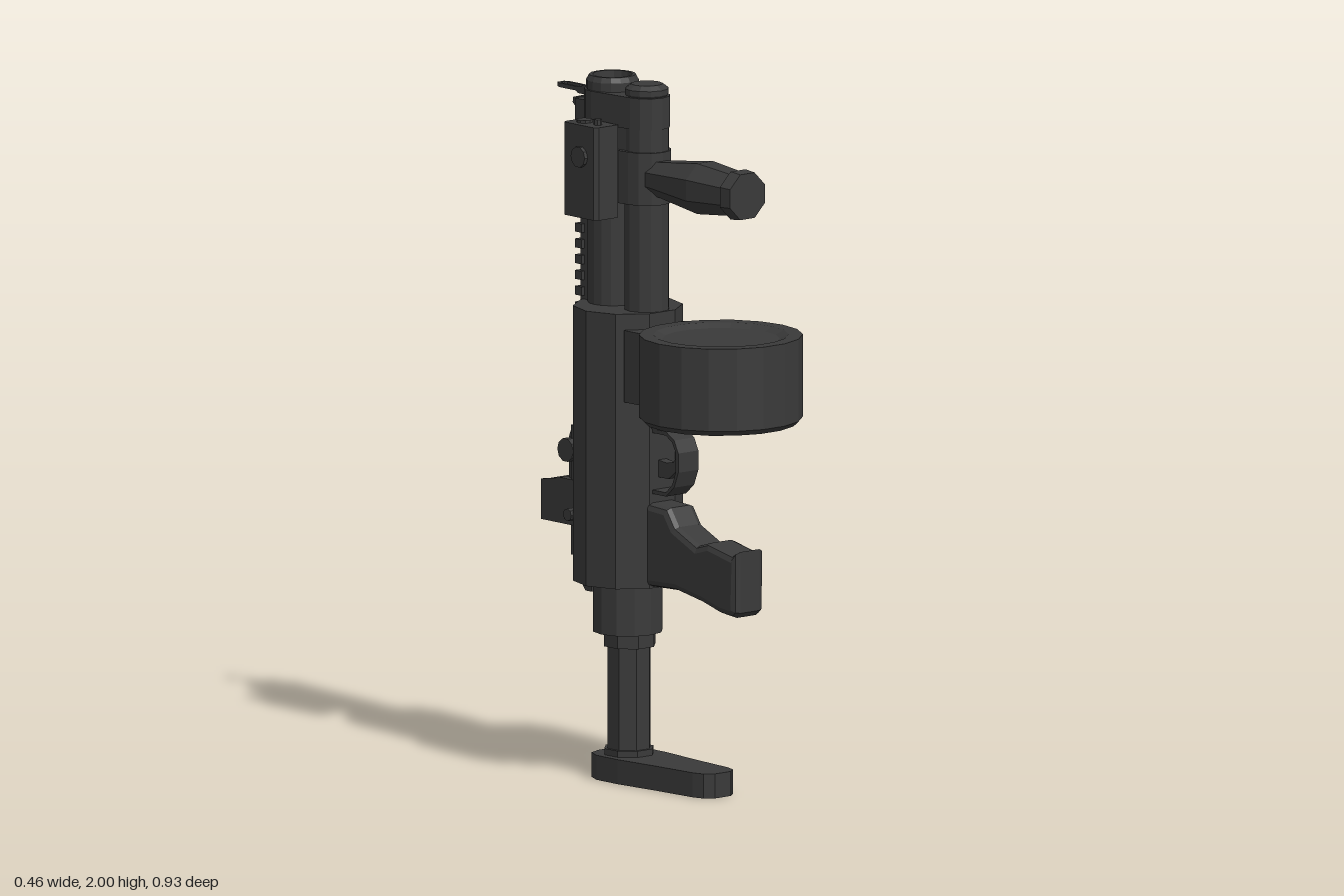
import * as THREE from 'three';

const metal = new THREE.MeshStandardMaterial({ color: 0x3a3a3a, flatShading: true });
metal.name = 'dark gunmetal';
const red = new THREE.MeshStandardMaterial({ color: 0x861f2e, flatShading: true, side: THREE.DoubleSide });
red.name = 'red lens';

export function createModel() {
  const model = new THREE.Group();

  const add = (name, geo, mat = metal) => {
    const m = new THREE.Mesh(geo, mat);
    m.name = name;
    model.add(m);
    return m;
  };
  // box from its limits
  const box = (name, x0, x1, y0, y1, z0, z1, mat) =>
    add(name, new THREE.BoxGeometry(x1 - x0, y1 - y0, z1 - z0)
      .translate((x0 + x1) / 2, (y0 + y1) / 2, (z0 + z1) / 2), mat);
  // upright lathe from [radius, y] pairs, bottom to top
  const turned = (name, pts, z, sides, turn = 0, x = 0) =>
    add(name, new THREE.LatheGeometry(pts.map(p => new THREE.Vector2(...p)), sides)
      .rotateY(turn).translate(x, 0, z));
  const rod = (name, r, y0, y1, z, sides, turn = 0, x = 0) =>
    turned(name, [[0, y0], [r, y0], [r, y1], [0, y1]], z, sides, turn, x);
  // knob lying along x
  const knob = (name, r, x0, x1, y, z, sides = 10) =>
    add(name, new THREE.CylinderGeometry(r, r, x1 - x0, sides)
      .rotateZ(Math.PI / 2).translate((x0 + x1) / 2, y, z));
  const shapeOf = pts => new THREE.Shape(pts.map(p => new THREE.Vector2(...p)));
  // plan outline [x, z] raised from y0 to y1
  const prism = (name, pts, y0, y1, hole) => {
    const s = shapeOf(pts.map(([x, z]) => [x, -z]));
    if (hole) s.holes.push(shapeOf(hole.map(([x, z]) => [x, -z])));
    return add(name, new THREE.ExtrudeGeometry(s, { depth: y1 - y0, bevelEnabled: false })
      .rotateX(-Math.PI / 2).translate(0, y0, 0));
  };
  // side outline [z, y] spread across x, with optional rounded edges
  const profile = (name, pts, width, bevel = 0) =>
    add(name, new THREE.ExtrudeGeometry(shapeOf(pts), {
      depth: width - 2 * bevel, bevelEnabled: bevel > 0, bevelSize: bevel,
      bevelThickness: bevel, bevelOffset: -bevel, bevelSegments: 2,
    }).rotateY(-Math.PI / 2).translate(width / 2 - bevel, 0, 0));
  // plan outline wrapped round a rear and a front circle
  const wrap = (zr, rr, zf, rf) => {
    const pts = [];
    for (let i = 0; i <= 8; i++) {
      const a = Math.PI * i / 8;
      pts.push([rr * Math.cos(a), zr - rr * Math.sin(a)]);
    }
    for (let i = 0; i <= 6; i++) {
      const a = Math.PI * i / 6;
      pts.push([-rf * Math.cos(a), zf + rf * Math.sin(a)]);
    }
    return pts;
  };
  const mirror = pts => [...pts, ...pts.map(([x, z]) => [-x, z]).reverse()];

  // stock
  prism('buttPlate', mirror([
    [0.03, 0.245], [0.055, 0.225], [0.065, 0.19], [0.075, 0.05], [0.09, -0.1],
    [0.09, -0.19], [0.07, -0.235], [0.03, -0.25],
  ]), 0, 0.07);
  rod('buttCollar', 0.073, 0.07, 0.088, -0.155, 8, Math.PI / 8);
  rod('stockTube', 0.064, 0.08, 0.42, -0.155, 8, Math.PI / 8);
  rod('stockCollar', 0.076, 0.38, 0.43, -0.152, 8, Math.PI / 8);
  rod('receiverEndCap', 0.099, 0.42, 0.58, -0.16, 12);

  // receiver, ten sided
  rod('receiver', 0.155, 0.565, 1.35, -0.16, 10, Math.PI / 10 * 5);

  // pistol grip
  profile('pistolGrip', [
    [-0.03, 0.57], [0.1, 0.575], [0.215, 0.555], [0.29, 0.535], [0.345, 0.53], [0.36, 0.545],
    [0.36, 0.72], [0.34, 0.71], [0.24, 0.73], [0.19, 0.715], [0.1, 0.755], [0.065, 0.805], [-0.03, 0.81],
  ], 0.11, 0.02);

  // trigger, its guard and the release catch
  const guard = (d) => [
    [-0.03, 1.02 - d], [0.045, 1.02 - d], [0.08 - d * 0.7, 1.0 - d * 0.7], [0.098 - d, 0.965],
    [0.098 - d, 0.91], [0.08 - d * 0.7, 0.865 + d * 0.7], [0.045, 0.835 + d], [-0.03, 0.835 + d],
  ];
  profile('triggerGuard', [...guard(0), ...guard(0.011).reverse()], 0.075);
  profile('trigger', [
    [-0.02, 0.93], [0.02, 0.925], [0.05, 0.93], [0.072, 0.955], [0.076, 0.95], [0.062, 0.905],
    [0.03, 0.88], [-0.02, 0.88],
  ], 0.03);
  box('releasePlate', -0.04, 0.04, 1.02, 1.1, -0.03, 0.01);
  box('releaseCatch', -0.02, 0.02, 1.03, 1.08, 0, 0.02);

  // drum magazine
  turned('drum', [
    [0, 1.1], [0.12, 1.1], [0.13, 1.085], [0.165, 1.085], [0.175, 1.07], [0.215, 1.07], [0.23, 1.085],
    [0.23, 1.32], [0.19, 1.32], [0.165, 1.308], [0, 1.308],
  ], 0.237, 18, Math.PI / 18);
  box('magazineWell', -0.11, 0.11, 1.1, 1.305, -0.05, 0.05);

  // barrel with open muzzle, and the tube in front of it
  turned('barrel', [
    [0.07, 1.3], [0.07, 1.95], [0.074, 1.955], [0.074, 1.985], [0.066, 2],
    [0.056, 2], [0.053, 1.9], [0, 1.9],
  ], -0.225, 16);
  turned('frontTube', [
    [0.064, 1.3], [0.064, 1.95], [0.055, 1.955], [0.062, 1.965], [0.062, 1.98], [0.045, 1.993], [0, 1.993],
  ], -0.079, 12);
  prism('upperBand', wrap(-0.225, 0.08, -0.077, 0.065), 1.87, 1.96);
  prism('bandSpacer', wrap(-0.225, 0.073, -0.08, 0.055), 1.79, 1.88);
  prism('lowerBand', wrap(-0.225, 0.085, -0.08, 0.07), 1.655, 1.805);

  // foregrip, eight sided, lying along z
  const gripPts = [[0, -0.05], [0.05, -0.05], [0.055, 0], [0.078, 0.17], [0.064, 0.305], [0.074, 0.31],
    [0.07, 0.35], [0, 0.35]];
  add('foregrip', new THREE.LatheGeometry(gripPts.map(p => new THREE.Vector2(...p)), 8)
    .rotateY(Math.PI / 8).rotateX(Math.PI / 2).translate(0, 1.73, 0));

  // toothed top rail
  box('railBase', -0.035, 0.035, 0.65, 1.87, -0.321, -0.27);
  for (let i = 0; i < 19; i++) {
    const y = 1.0 + i * 0.045;
    box('railTooth', -0.045, 0.045, y, y + 0.025, -0.334, -0.305);
  }

  // front sight: post block and thin tapering loop
  box('frontSightBase', -0.04, 0.04, 1.81, 1.92, -0.34, -0.28);
  profile('frontSightPost', [
    [-0.32, 1.82], [-0.355, 1.83], [-0.36, 1.885], [-0.378, 1.9], [-0.375, 1.915], [-0.32, 1.93],
  ], 0.03);
  prism('frontSightLoop',
    mirror([[0.02, -0.29], [0.02, -0.43], [0.012, -0.445]]), 1.936, 1.948,
    mirror([[0.011, -0.33], [0.011, -0.43], [0.005, -0.435]]));
  profile('frontSightHinge', [[-0.29, 1.93], [-0.35, 1.93], [-0.37, 1.945], [-0.3, 1.96]], 0.04);

  // rear sight: mount, open hood and lens
  box('sightMount', -0.06, 0.06, 0.62, 0.99, -0.333, -0.27);
  profile('sightMountTail', [[-0.27, 0.52], [-0.295, 0.52], [-0.333, 0.57], [-0.333, 0.72], [-0.27, 0.72]], 0.08);
  profile('sightBody', [[-0.3, 0.82], [-0.36, 0.82], [-0.36, 0.95], [-0.345, 0.985], [-0.3, 0.985]], 0.09);
  for (const s of [-1, 1]) {
    profile('hoodSide', [[-0.31, 0.705], [-0.455, 0.705], [-0.455, 0.82], [-0.37, 0.835], [-0.31, 0.835]], 0.01)
      .position.x = s * 0.06;
  }
  prism('hoodBack', mirror([[0.065, -0.454], [0.05, -0.467]]), 0.705, 0.815);
  box('hoodFloor', -0.06, 0.06, 0.705, 0.835, -0.375, -0.31);
  box('lens', -0.055, 0.055, 0.735, 0.74, -0.455, -0.375, red);
  knob('sightKnob', 0.034, -0.08, -0.04, 0.92, -0.335);
  knob('sightKnob', 0.022, 0.04, 0.08, 0.92, -0.335);
  knob('receiverPin', 0.018, -0.13, -0.07, 0.75, -0.27, 8);

  // side light module
  prism('lightBody', [
    [-0.08, -0.252], [-0.152, -0.252], [-0.163, -0.243], [-0.163, -0.119], [-0.152, -0.11], [-0.08, -0.11],
  ], 1.615, 1.88);
  box('lightBracket', -0.1, -0.05, 1.67, 1.79, -0.24, -0.13);
  rod('lightLens', 0.023, 1.87, 1.888, -0.205, 10, 0, -0.122);
  rod('lightScrew', 0.012, 1.87, 1.896, -0.148, 8, 0, -0.122);
  knob('lightButton', 0.03, -0.174, -0.155, 1.79, -0.175);

  return model;
}
